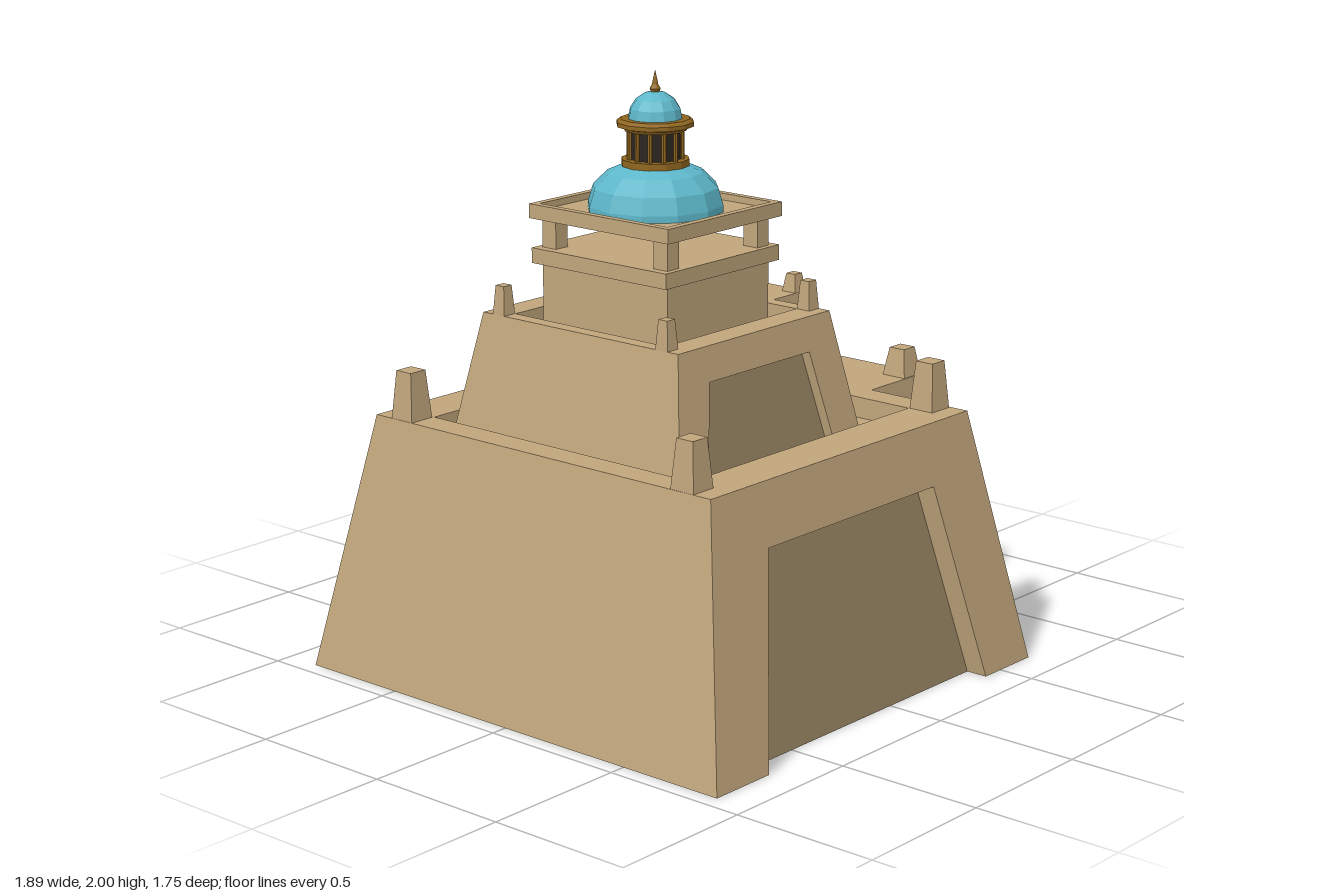
import * as THREE from 'three';

const mat = (name, color) => {
  const m = new THREE.MeshStandardMaterial({ color, flatShading: true });
  m.name = name;
  return m;
};

function quadMesh(name, quads, material) {
  const pos = [];
  for (const [a, b, c, d] of quads) pos.push(...a, ...b, ...c, ...a, ...c, ...d);
  const g = new THREE.BufferGeometry();
  g.setAttribute('position', new THREE.Float32BufferAttribute(pos, 3));
  g.computeVertexNormals();
  const mesh = new THREE.Mesh(g, material);
  mesh.name = name;
  return mesh;
}

// Turns a quad about the y axis
const turn = (q, t) => q.map(([x, y, z]) => [
  x * Math.cos(t) + z * Math.sin(t), y, -x * Math.sin(t) + z * Math.cos(t)]);

// Sloping wall facing +z, half width w and distance d given as [bottom, top],
// with a sunken tapered panel
function panelWall({ w, d, h, pw, ph, inset }) {
  const zAt = y => d[0] + (d[1] - d[0]) * y / h;
  const P = (x, y, i = 0) => [x, y, zAt(y) - i * inset];
  const [A0, B0, A1, B1] = [P(-w[0], 0), P(w[0], 0), P(-w[1], h), P(w[1], h)];
  const [a0, b0, a1, b1] = [P(-pw[0], 0), P(pw[0], 0), P(-pw[1], ph), P(pw[1], ph)];
  const [c0, e0, c1, e1] = [P(-pw[0], 0, 1), P(pw[0], 0, 1), P(-pw[1], ph, 1), P(pw[1], ph, 1)];
  return {
    stone: [
      [A0, a0, a1, A1], [b0, B0, B1, b1], [a1, b1, B1, A1],   // face round the panel
      [a0, c0, c1, a1], [e0, b0, b1, e1], [a1, c1, e1, b1],   // reveals
      [A0, P(-w[0], 0, 1), c0, a0], [b0, e0, P(w[0], 0, 1), B0] // feet
    ],
    panel: [[c0, e0, e1, c1]]
  };
}

// Tapered tier with panels front and back, a porch on +x and a sunken roof
function makeTier(name, body, porch, hole, stone, panelMat) {
  const group = new THREE.Group();
  group.name = name;
  const { w, d, h } = body;
  const walls = [], panels = [];
  const addWall = (spec, t) => {
    const r = panelWall(spec);
    walls.push(...r.stone.map(q => turn(q, t)));
    panels.push(...r.panel.map(q => turn(q, t)));
  };
  addWall(body, 0);
  addWall(body, Math.PI);
  for (const s of [1, -1]) {
    const q = [[s * w[0], 0, s * d[0]], [s * w[0], 0, -s * d[0]],
      [s * w[1], h, -s * d[1]], [s * w[1], h, s * d[1]]];
    walls.push(q);
  }
  const fz = d[0] - body.inset;
  walls.push([[-w[0], 0, -fz], [w[0], 0, -fz], [w[0], 0, fz], [-w[0], 0, fz]]);

  // Parapet rim, its inner faces and the sunken floor
  const [hx, hz, depth] = hole, fy = h - depth;
  const ring = (x, y, z) => [[-x, y, z], [x, y, z], [x, y, -z], [-x, y, -z]];
  const outer = ring(w[1], h, d[1]), inner = ring(hx, h, hz), floor = ring(hx, fy, hz);
  for (let i = 0; i < 4; i++) {
    const j = (i + 1) % 4;
    walls.push([outer[i], outer[j], inner[j], inner[i]]);
    walls.push([inner[i], inner[j], floor[j], floor[i]]);
  }
  walls.push(floor);

  // Porch
  const p = { ...porch, h };
  addWall(p, Math.PI / 2);
  for (const s of [1, -1]) {
    const q = [[w[0], 0, s * p.w[0]], [p.d[0], 0, s * p.w[0]],
      [p.d[1], h, s * p.w[1]], [w[1], h, s * p.w[1]]];
    walls.push(s > 0 ? q : q.reverse());
  }
  const [pw, pd] = [p.w, p.d], px = pd[0] - p.inset;
  walls.push([[w[1], h, pw[1]], [pd[1], h, pw[1]], [pd[1], h, -pw[1]], [w[1], h, -pw[1]]]);
  walls.push([[w[0], 0, -pw[0]], [px, 0, -pw[0]], [px, 0, pw[0]], [w[0], 0, pw[0]]]);

  group.add(quadMesh(name + 'Walls', walls, stone), quadMesh(name + 'Panels', panels, panelMat));
  return group;
}

export function createModel() {
  const stone = mat('sandstone', 0xc0a57b), shade = mat('darkSandstone', 0x968462);
  const teal = mat('turquoise', 0x5db7ca), gold = mat('gold', 0x8f661f), dark = mat('darkGlass', 0x2b2520);
  const model = new THREE.Group();
  model.name = 'tieredTower';
  const add = (name, geo, m, x, y, z, parent = model) => {
    const mesh = new THREE.Mesh(geo, m);
    mesh.name = name;
    mesh.position.set(x, y, z);
    parent.add(mesh);
    return mesh;
  };

  // Tiers
  const lower = makeTier('lowerTier',
    { w: [0.8025, 0.645], d: [0.875, 0.715], h: 0.86, pw: [0.56, 0.418], ph: 0.66, inset: 0.075 },
    { w: [0.4, 0.32], d: [1.0875, 0.9325], pw: [0.27, 0.2], ph: 0.74, inset: 0.065 },
    [0.545, 0.55, 0.07], stone, shade);
  lower.position.set(-0.1425, 0, 0);
  const upper = makeTier('upperTier',
    { w: [0.45, 0.37], d: [0.49, 0.415], h: 0.425, pw: [0.313, 0.245], ph: 0.315, inset: 0.035 },
    { w: [0.22, 0.185], d: [0.615, 0.535], pw: [0.152, 0.115], ph: 0.365, inset: 0.035 },
    [0.32, 0.32, 0.05], stone, shade);
  upper.position.set(-0.22, 0.79, 0);
  model.add(lower, upper);

  // Tapered corner posts: x, z, base y, height, base width, top width
  for (const [x, z, y, h, b, t] of [
    [-0.74, 0.6, 0.86, 0.16, 0.092, 0.066], [0.45, 0.6, 0.86, 0.16, 0.092, 0.066],
    [0.735, 0.27, 0.86, 0.095, 0.092, 0.06],
    [-0.565, 0.347, 1.215, 0.095, 0.05, 0.036], [0.125, 0.347, 1.215, 0.095, 0.05, 0.036],
    [0.29, 0.155, 1.215, 0.06, 0.056, 0.036]]) {
    for (const s of [1, -1]) {
      const g = new THREE.CylinderGeometry(t / Math.SQRT2, b / Math.SQRT2, h, 4).rotateY(Math.PI / 4);
      add('cornerPost', g, stone, x, y + h / 2, s * z);
    }
  }

  // Square pavilion
  const top = new THREE.Group();
  top.name = 'pavilion';
  top.position.x = -0.2225;
  model.add(top);
  const box = (name, w, y0, y1, d, x = 0, z = 0) =>
    add(name, new THREE.BoxGeometry(w, y1 - y0, d), stone, x, (y0 + y1) / 2, z, top);
  box('pavilionBase', 0.49, 1.165, 1.38, 0.53);
  box('pavilionLedge', 0.55, 1.38, 1.43, 0.57);
  for (const sx of [1, -1]) for (const sz of [1, -1])
    box('pavilionPost', 0.055, 1.43, 1.525, 0.058, sx * 0.2175, sz * 0.236);
  box('roofSlab', 0.55, 1.525, 1.55, 0.59);
  for (const s of [1, -1]) {
    box('roofRim', 0.55, 1.55, 1.572, 0.025, 0, s * 0.2825);
    box('roofRim', 0.025, 1.55, 1.572, 0.54, s * 0.2625, 0);
  }

  // Domes and lantern
  const lathe = (name, pts, m) => add(name,
    new THREE.LatheGeometry(pts.map(p => new THREE.Vector2(...p)), 12), m, 0, 0, 0, top);
  const dome = (r, h, y, n) => Array.from({ length: n + 1 }, (_, i) => {
    const a = i / n * Math.PI / 2;
    return [i === n ? 0 : r * Math.cos(a), y + h * Math.sin(a)];
  });
  lathe('mainDome', [[0.22, 1.55], ...dome(0.22, 0.145, 1.572, 4)], teal);
  lathe('lanternBase', [[0.11, 1.695], [0.11, 1.717], [0, 1.717]], gold);
  lathe('lanternGlass', [[0.083, 1.71], [0.083, 1.82]], dark);
  for (let i = 0; i < 12; i++) {
    const a = i / 12 * Math.PI * 2;
    add('lanternColumn', new THREE.CylinderGeometry(0.008, 0.008, 0.105, 6), gold,
      0.086 * Math.sin(a), 1.764, 0.086 * Math.cos(a), top);
  }
  lathe('lanternCornice', [[0, 1.808], [0.1, 1.808], [0.105, 1.817], [0.125, 1.822],
    [0.125, 1.836], [0.112, 1.846], [0, 1.846]], gold);
  lathe('smallDome', dome(0.088, 0.09, 1.843, 4), teal);
  lathe('finial', [[0, 1.922], [0.012, 1.926], [0.018, 1.94], [0.01, 1.953], [0.008, 1.965], [0, 2]], gold);
  return model;
}
